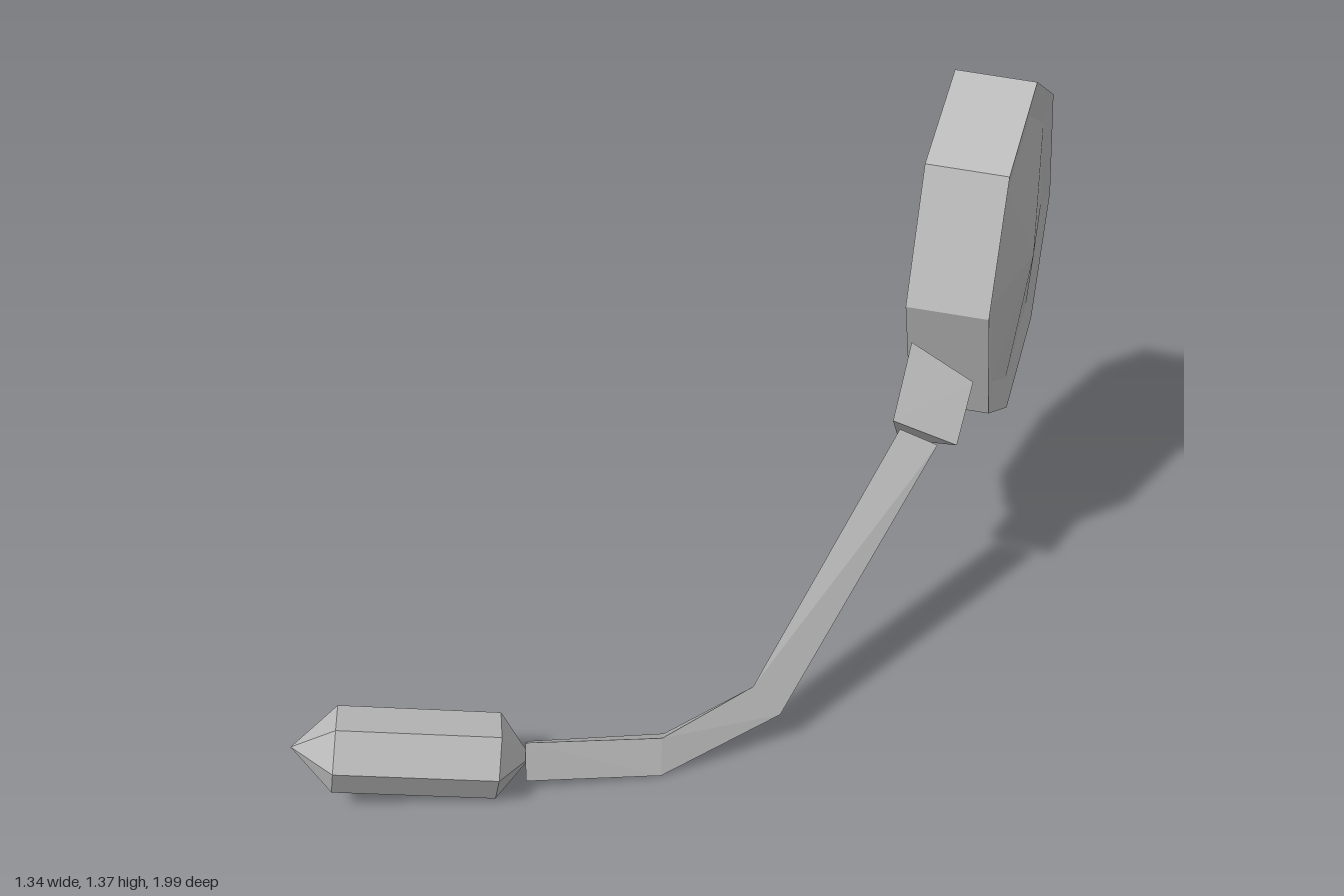
import * as THREE from 'three';

const V = (x, y, z) => new THREE.Vector3(x, y, z);

// Closed solid skinned over triangular cross-sections
function loft(rings) {
  const pos = [];
  const tri = (...pts) => pts.forEach((p) => pos.push(...p));
  for (let i = 0; i < rings.length - 1; i++) {
    const a = rings[i], b = rings[i + 1];
    for (let j = 0; j < 3; j++) {
      const k = (j + 1) % 3;
      tri(a[j], a[k], b[k]);
      tri(a[j], b[k], b[j]);
    }
  }
  const first = rings[0], last = rings[rings.length - 1];
  tri(first[0], first[2], first[1]);
  tri(last[0], last[1], last[2]);
  const geo = new THREE.BufferGeometry();
  geo.setAttribute('position', new THREE.Float32BufferAttribute(pos, 3));
  geo.computeVertexNormals();
  return geo;
}

// Faceted turned solid: profile of [radius, distance along axis]
function turned(profile, sides) {
  const geo = new THREE.LatheGeometry(profile.map(([r, h]) => new THREE.Vector2(r, h)), sides).toNonIndexed();
  geo.computeVertexNormals();
  return geo;
}

export function createModel() {
  const group = new THREE.Group();
  const grey = new THREE.MeshStandardMaterial({ color: 0xb8b8b8, flatShading: true });
  grey.name = 'grey plastic';

  const add = (name, geo) => {
    const mesh = new THREE.Mesh(geo, grey);
    mesh.name = name;
    group.add(mesh);
  };

  // Ear cup: octagonal drum on the x axis with a sunken, domed outer face
  const cup = turned([[0, 0.435], [1, 0.435], [0.99, 0.64], [0.8, 0.63], [0, 0.672]], 8);
  cup.scale(0.377, 1, 0.47);
  cup.applyMatrix4(new THREE.Matrix4().makeBasis(V(0, 0, 1), V(1, 0, 0), V(0, 1, 0)));
  cup.translate(0, 0.91, -0.622);
  add('earCup', cup);

  // Joint between cup and boom: triangular prism
  add('boomJoint', loft([
    [[0.45, 0.66, -0.12], [0.6, 0.585, -0.18], [0.44, 0.535, -0.235]],
    [[0.45, 0.8, -0.27], [0.605, 0.7, -0.3], [0.44, 0.62, -0.33]],
  ]));

  // Boom: bent three-sided arm from the microphone to the joint
  add('boomArm', loft([
    [[-0.18, 0.14, 0.725], [-0.175, 0.04, 0.745], [-0.205, 0.08, 0.655]],
    [[0.1, 0.105, 0.565], [0.105, 0.01, 0.59], [0.075, 0.05, 0.49]],
    [[0.27, 0.18, 0.4], [0.335, 0.1, 0.385], [0.25, 0.105, 0.33]],
    [[0.465, 0.63, -0.135], [0.555, 0.585, -0.165], [0.46, 0.55, -0.2]],
  ]));

  // Microphone: six-sided capsule with pointed ends
  const mic = turned([[0, 0], [0.1, 0.1], [0.1, 0.478], [0, 0.555]], 6);
  const axis = V(0.337, -0.055, -0.162).normalize();
  const side = axis.clone().cross(V(0.025, 0.093, 0.035)).normalize();
  const up = side.clone().cross(axis);
  mic.applyMatrix4(new THREE.Matrix4().makeBasis(side, axis, up).setPosition(-0.67, 0.167, 0.948));
  add('microphone', mic);

  return group;
}
